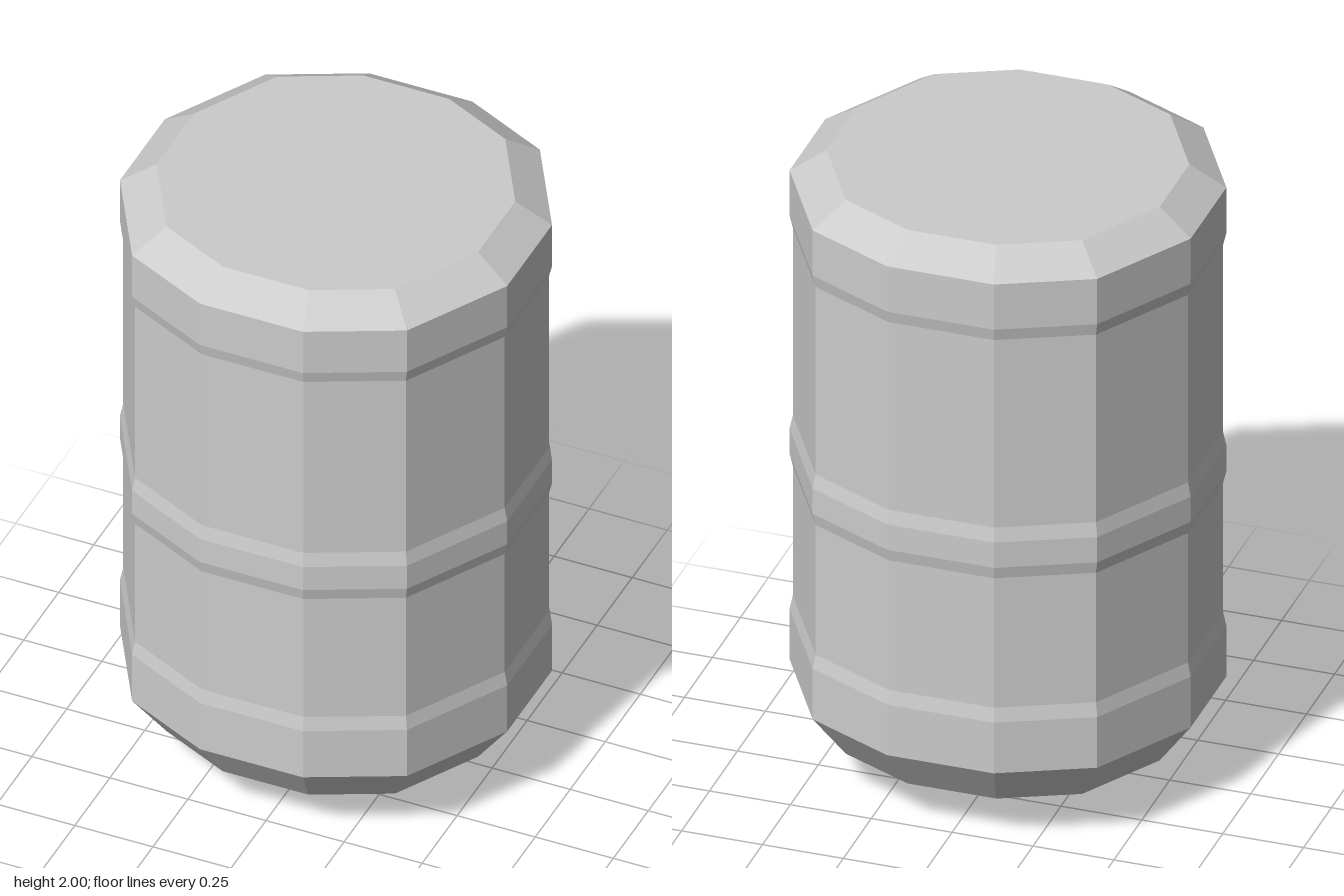
import * as THREE from 'three';

// One quadrant of the twelve-sided outline, mirrored into the full ring
const quadrant = [[0.62, 0.16], [0.44, 0.475], [0.165, 0.605]];
const flip = (pts, sx, sz) => pts.map(([x, z]) => [x * sx, z * sz]);
const outline = [
  ...quadrant,
  ...flip(quadrant, -1, 1).reverse(),
  ...flip(quadrant, -1, -1),
  ...flip(quadrant, 1, -1).reverse(),
];

// Stacks scaled copies of the outline; each level is [y, scale]
function loft(levels) {
  const n = outline.length;
  const positions = [];
  const index = [];
  for (const [y, s] of levels) {
    for (const [x, z] of outline) positions.push(x * s, y, z * s);
  }
  for (let k = 0; k < levels.length - 1; k++) {
    for (let i = 0; i < n; i++) {
      const a = k * n + i;
      const b = k * n + (i + 1) % n;
      index.push(a, a + n, b, b, a + n, b + n);
    }
  }
  // Flat end caps
  const last = (levels.length - 1) * n;
  for (let i = 1; i < n - 1; i++) {
    index.push(0, i, i + 1);
    index.push(last, last + i + 1, last + i);
  }
  const geometry = new THREE.BufferGeometry();
  geometry.setAttribute('position', new THREE.Float32BufferAttribute(positions, 3));
  geometry.setIndex(index);
  const flat = geometry.toNonIndexed();
  flat.computeVertexNormals();
  return flat;
}

export function createModel() {
  const model = new THREE.Group();
  model.name = 'barrel';
  const material = new THREE.MeshStandardMaterial({ color: 0xcccccc, flatShading: true });

  const recess = 0.985;
  const levels = [
    [0, 0.365], [0.14, 0.83],                                   // tapered base
    [0.285, 1], [0.455, 1], [0.5, recess],                      // lower band
    [0.935, recess], [0.975, 1], [1.06, 1], [1.105, recess],    // middle band
    [1.735, recess], [1.775, 1], [1.927, 1],                    // upper band
    [2, 0.83],                                                  // bevelled lid
  ];
  const body = new THREE.Mesh(loft(levels), material);
  body.name = 'barrelBody';
  model.add(body);
  return model;
}
